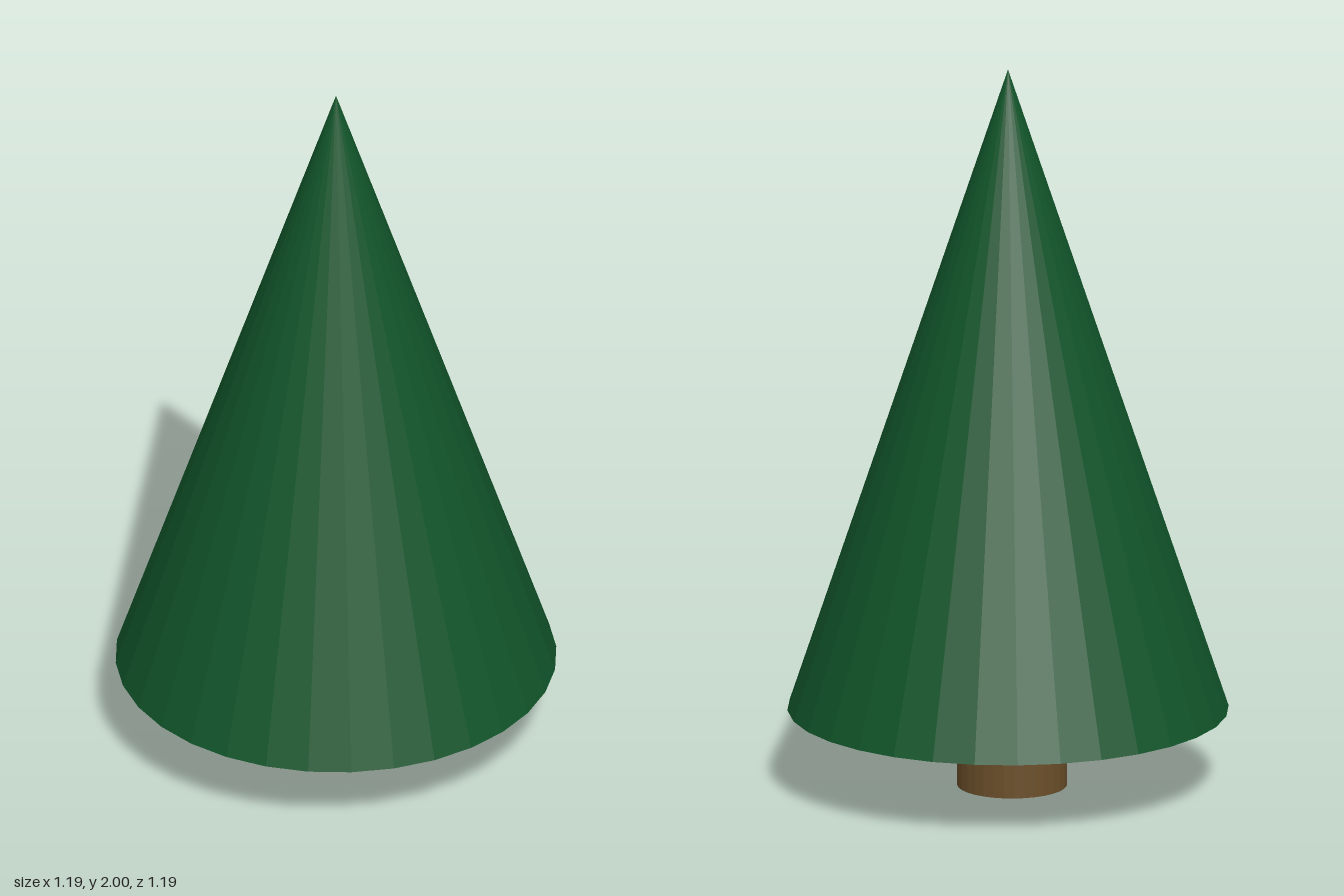
import * as THREE from 'three';

const SIDES = 32;
const BASE_Y = 0.212; // underside of the foliage
const TOP_Y = 2;

function addPart(group, name, geometry, color, x, y) {
  const material = new THREE.MeshStandardMaterial({ color, flatShading: true });
  const mesh = new THREE.Mesh(geometry, material);
  mesh.name = name;
  mesh.position.set(x, y, 0);
  group.add(mesh);
}

export function createModel() {
  const tree = new THREE.Group();
  tree.name = 'tree';

  // Foliage: one tall closed cone
  const height = TOP_Y - BASE_Y;
  addPart(tree, 'foliage', new THREE.ConeGeometry(0.597, height, SIDES),
    0x11552a, 0, BASE_Y + height / 2);

  // Trunk: short cylinder, slightly off centre, just entering the foliage
  const trunkHeight = BASE_Y + 0.01;
  addPart(tree, 'trunk', new THREE.CylinderGeometry(0.149, 0.149, trunkHeight, SIDES),
    0x6b4f2a, -0.013, trunkHeight / 2);

  return tree;
}
